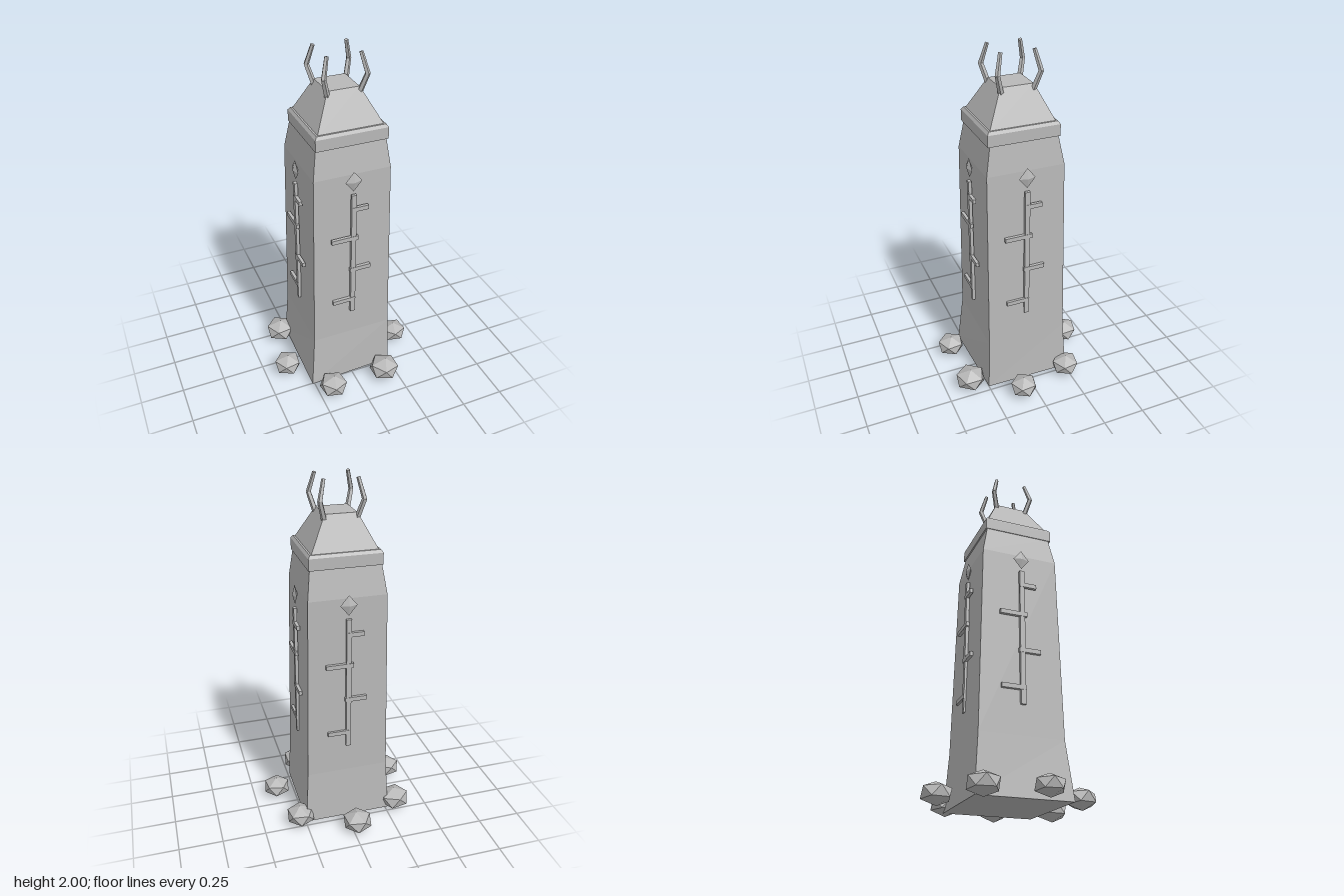
import * as THREE from 'three';

const stone = new THREE.MeshStandardMaterial({ color: 0xb8b8b8 });
stone.name = 'grey stone';

function addMesh(parent, name, geometry) {
  // Unshared vertices give crisp flat facets
  const flat = geometry.index ? geometry.toNonIndexed() : geometry;
  flat.computeVertexNormals();
  const mesh = new THREE.Mesh(flat, stone);
  mesh.name = name;
  parent.add(mesh);
  return mesh;
}

// Four corners of a level rectangle, counter-clockwise seen from above
const rect = (y, x0, x1, z0, z1) => [[x0, y, z1], [x1, y, z1], [x1, y, z0], [x0, y, z0]];

// Closed solid through a stack of four-cornered rings
function stack(rings) {
  const pos = [];
  const quad = (a, b, c, d) => [a, b, c, a, c, d].forEach((p) => pos.push(...p));
  for (let k = 0; k < rings.length - 1; k++) {
    for (let i = 0; i < 4; i++) {
      const j = (i + 1) % 4;
      quad(rings[k][i], rings[k][j], rings[k + 1][j], rings[k + 1][i]);
    }
  }
  quad(...rings[rings.length - 1]);
  quad(...[...rings[0]].reverse());
  const geometry = new THREE.BufferGeometry();
  geometry.setAttribute('position', new THREE.Float32BufferAttribute(pos, 3));
  return geometry;
}

// Tapered five-sided rod between two points
function rod(a, b, r0, r1) {
  const dir = b.clone().sub(a);
  const geometry = new THREE.CylinderGeometry(r1, r0, dir.length(), 5);
  const q = new THREE.Quaternion().setFromUnitVectors(new THREE.Vector3(0, 1, 0), dir.normalize());
  geometry.applyQuaternion(q);
  const mid = a.clone().add(b).multiplyScalar(0.5);
  return geometry.translate(mid.x, mid.y, mid.z);
}

// Relief on one face: long stroke, side strokes and a diamond
function makeRelief() {
  const group = new THREE.Group();
  group.name = 'faceRelief';
  const bar = (name, x0, x1, y0, y1, z) =>
    addMesh(group, name, new THREE.BoxGeometry(x1 - x0, y1 - y0, 0.018)
      .translate((x0 + x1) / 2, (y0 + y1) / 2, z));
  bar('longStroke', -0.014, 0.014, 0.505, 1.288, 0.238);
  const strokes = [[1.2, -0.014, 0.083], [1.018, -0.128, 0.027], [0.807, -0.02, 0.103], [0.596, -0.12, 0.014]];
  for (const [y, x0, x1] of strokes) bar('sideStroke', x0, x1, y - 0.0125, y + 0.0125, 0.24);
  addMesh(group, 'diamond', new THREE.OctahedronGeometry(1).scale(0.047, 0.057, 0.015).translate(0, 1.365, 0.235));
  return group;
}

export function createModel() {
  const model = new THREE.Group();
  model.name = 'obelisk';

  // Tapered shaft with a slightly uneven flared foot
  addMesh(model, 'shaft', stack([
    [[-0.27, 0.024, 0.276], [0.244, 0.024, 0.258], [0.251, 0.024, -0.245], [-0.258, 0.024, -0.245]],
    rect(0.34, -0.241, 0.233, -0.226, 0.246),
    rect(1.4, -0.224, 0.211, -0.206, 0.233),
    rect(1.57, -0.198, 0.19, -0.173, 0.204),
  ]));

  // Collar and sloping cap
  addMesh(model, 'collar', stack([
    rect(1.558, -0.204, 0.198, -0.183, 0.219),
    rect(1.622, -0.204, 0.198, -0.183, 0.219),
    rect(1.638, -0.193, 0.187, -0.172, 0.208),
  ]));
  addMesh(model, 'cap', stack([
    rect(1.625, -0.19, 0.184, -0.169, 0.205),
    rect(1.818, -0.092, 0.083, -0.08, 0.103),
  ]));

  // The same relief on all four faces
  for (let i = 0; i < 4; i++) {
    const relief = makeRelief();
    relief.position.set(-0.007, 0, 0.015);
    relief.rotation.y = i * Math.PI / 2;
    model.add(relief);
  }

  // Bent horns on the cap corners
  for (const sx of [-1, 1]) {
    for (const sz of [-1, 1]) {
      const horn = new THREE.Group();
      horn.name = 'horn';
      const p = (r, y) => new THREE.Vector3(-0.004 + sx * r, y, 0.012 + sz * r);
      addMesh(horn, 'hornLower', rod(p(0.088, 1.785), p(0.118, 1.892), 0.016, 0.014));
      addMesh(horn, 'hornUpper', rod(p(0.118, 1.887), p(0.091, 1.997), 0.014, 0.011));
      model.add(horn);
    }
  }

  // Faceted rocks around the foot: x, y, z, size, yaw, tilt
  const rocks = [
    [-0.025, 0.065, -0.365, 0.09, 0.08, 0.45],
    [-0.305, 0.07, -0.218, 0.093, -0.15, 0.5],
    [0.283, 0.072, -0.227, 0.087, 0.15, 0.5],
    [0.363, 0.073, 0.083, 0.084, 0.1, 0.55],
    [-0.366, 0.073, 0.097, 0.086, -0.12, 0.5],
    [-0.17, 0.064, 0.36, 0.087, 0.12, 0.45],
    [0.17, 0.065, 0.349, 0.094, 0, 0.45],
  ];
  for (const [x, y, z, size, yaw, tilt] of rocks) {
    addMesh(model, 'rock', new THREE.IcosahedronGeometry(size, 0)
      .rotateZ(tilt).rotateY(yaw).scale(1, 0.7, 1).translate(x, y, z));
  }
  return model;
}
